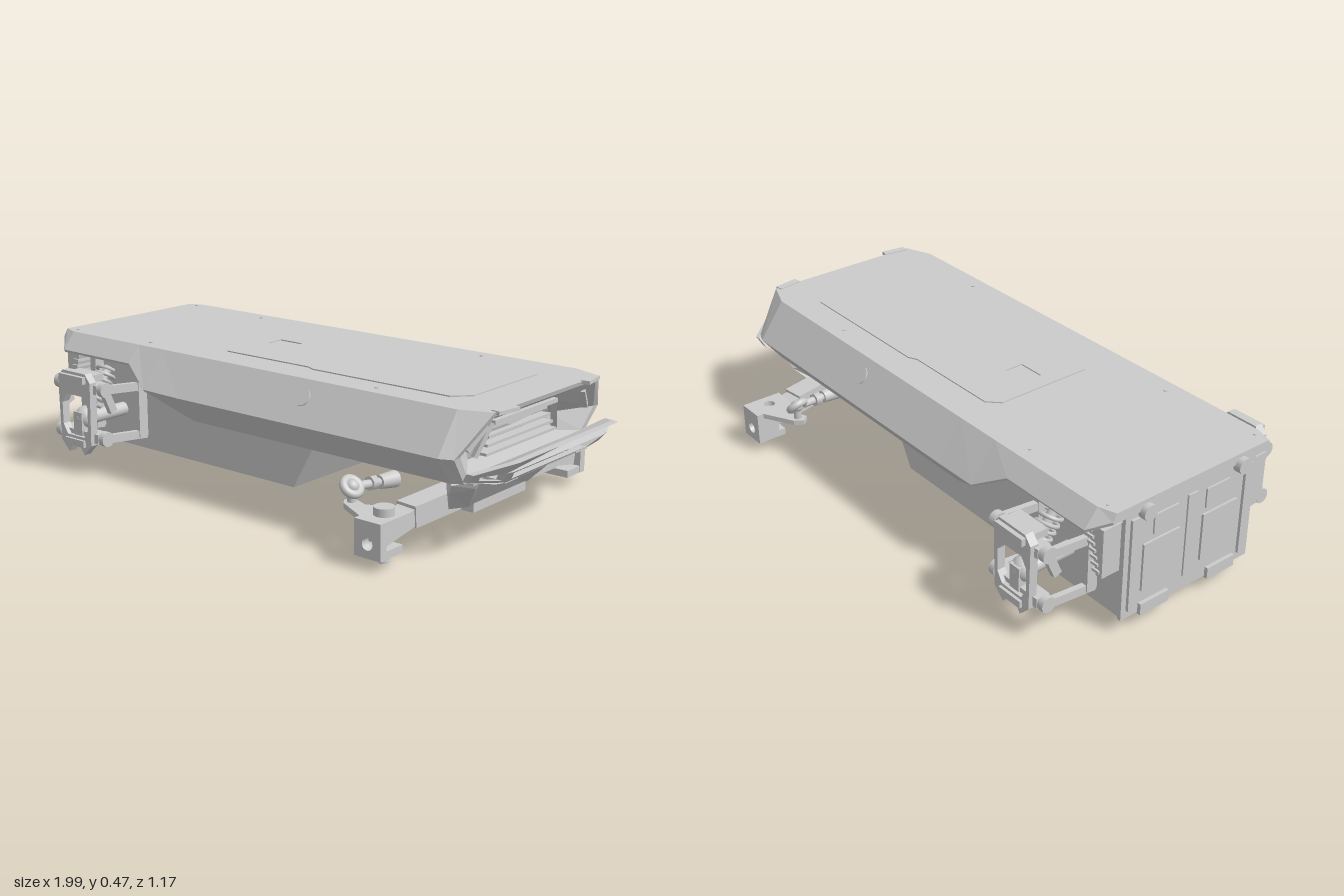
import * as THREE from 'three';

const mat = new THREE.MeshStandardMaterial({ color: 0xcccccc, flatShading: true, side: THREE.DoubleSide });
const smooth = new THREE.MeshStandardMaterial({ color: 0xcccccc });
const V = (x, y, z) => new THREE.Vector3(x, y, z);

function add(parent, name, geo, m = mat) {
  const mesh = new THREE.Mesh(geo, m);
  mesh.name = name;
  parent.add(mesh);
  return mesh;
}
function box(parent, name, x0, x1, y0, y1, z0, z1) {
  const g = new THREE.BoxGeometry(x1 - x0, y1 - y0, Math.abs(z1 - z0));
  return add(parent, name, g.translate((x0 + x1) / 2, (y0 + y1) / 2, (z0 + z1) / 2));
}
// round bar between two points
function rod(parent, name, a, b, r, r2 = r, seg = 16) {
  const d = b.clone().sub(a);
  const g = new THREE.CylinderGeometry(r2, r, d.length(), seg);
  g.applyQuaternion(new THREE.Quaternion().setFromUnitVectors(V(0, 1, 0), d.clone().normalize()));
  return add(parent, name, g.translate(...a.clone().add(b).multiplyScalar(0.5).toArray()), smooth);
}
// square bar between two points
function beam(parent, name, a, b, w, h) {
  const d = b.clone().sub(a);
  const m = add(parent, name, new THREE.BoxGeometry(w, h, d.length()));
  m.position.copy(a).add(b).multiplyScalar(0.5);
  m.lookAt(b);
  return m;
}
const poly = (pts, T = THREE.Shape) => new T(pts.map(p => new THREE.Vector2(...p)));
function circleHole(x, y, r) {
  return new THREE.Path().absarc(x, y, r, 0, Math.PI * 2, true);
}
function slab(pts, depth, holes = []) {
  const s = poly(pts);
  s.holes.push(...holes);
  return new THREE.ExtrudeGeometry(s, { depth, bevelEnabled: false, curveSegments: 12 });
}
// mirrored ring from half points [x, y, z], then skin of rings with end caps
const ring = half => [...half, ...half.slice().reverse().map(([x, y, z]) => [x, y, -z])];
function loft(rings) {
  const p = [], n = rings[0].length;
  const tri = (a, b, c) => p.push(...a, ...b, ...c);
  for (let i = 0; i + 1 < rings.length; i++) for (let j = 0; j < n; j++) {
    const k = (j + 1) % n, a = rings[i], b = rings[i + 1];
    tri(a[j], a[k], b[k]);
    tri(a[j], b[k], b[j]);
  }
  const s = rings[0], e = rings[rings.length - 1];
  for (let j = 1; j + 1 < n; j++) {
    tri(s[0], s[j + 1], s[j]);
    tri(e[0], e[j], e[j + 1]);
  }
  const g = new THREE.BufferGeometry();
  g.setAttribute('position', new THREE.Float32BufferAttribute(p, 3));
  g.computeVertexNormals();
  return g;
}

function buildBody(root) {
  const g = new THREE.Group();
  g.name = 'body';
  root.add(g);
  const sec = (x, zs, ys, zb, yb, zt = 0.34) => ring([[x, 0.465, zt], [x, ys, zs], [x, yb, zb]]);
  // upper shell, ending in a framed, recessed nose
  add(g, 'upperShell', loft([
    sec(-0.98, 0.335, 0.44, 0.33, 0.43, 0.32),
    sec(-0.92, 0.39, 0.405, 0.385, 0.395),
    sec(-0.57, 0.39, 0.405, 0.385, 0.395),
    sec(-0.45, 0.435, 0.338, 0.432, 0.332),
    sec(-0.28, 0.435, 0.335, 0.36, 0.24),
    sec(0.8, 0.435, 0.335, 0.36, 0.24),
    ring([[0.905, 0.465, 0.3], [0.845, 0.335, 0.415], [0.83, 0.24, 0.34]]),
    ring([[0.9, 0.45, 0.29], [0.845, 0.337, 0.385], [0.833, 0.262, 0.33]]),
    ring([[0.8, 0.395, 0.17], [0.76, 0.33, 0.24], [0.76, 0.275, 0.22]]),
  ]));
  // grille slats and frame
  for (let i = 0; i < 4; i++) box(g, 'grilleSlat', 0.76, 0.815 - i * 0.005, 0.29 + i * 0.025, 0.299 + i * 0.025, -0.2 + i * 0.012, 0.2 - i * 0.012);
  beam(g, 'grilleTop', V(0.815, 0.395, -0.18), V(0.815, 0.395, 0.18), 0.03, 0.014);
  for (const s of [-1, 1]) {
    beam(g, 'grilleSide', V(0.815, 0.395, 0.18 * s), V(0.79, 0.29, 0.23 * s), 0.02, 0.014);
    beam(g, 'headlamp', V(0.855, 0.42, 0.28 * s), V(0.83, 0.35, 0.345 * s), 0.03, 0.03);
    beam(g, 'noseLip', V(0.9, 0.462, 0.29 * s), V(0.915, 0.462, 0.2 * s), 0.03, 0.012);
    // round side port set in the sloping flank
    const c = V(0.23, 0.413, 0.378 * s), n = V(0, 0.59, 0.81 * s);
    rod(g, 'sidePort', c, c.clone().addScaledVector(n, 0.004), 0.03, 0.03, 24);
    for (const x of [-0.56, 0.46]) rod(g, 'roofBolt', V(x, 0.46, 0.29 * s), V(x, 0.468, 0.29 * s), 0.007);
    rod(g, 'roofBolt', V(-0.93, 0.46, 0.31 * s), V(-0.93, 0.468, 0.31 * s), 0.006);
  }
  // roof hatch with handle opening
  const w = 0.22, hatch = slab([[-0.29, -w + 0.04], [-0.25, -w], [0.12, -w], [0.15, -w - 0.015], [0.7, -w - 0.015], [0.75, -w + 0.04],
    [0.75, w - 0.04], [0.7, w + 0.015], [0.15, w + 0.015], [0.12, w], [-0.25, w], [-0.29, w - 0.04]], 0.005,
  [poly([[-0.23, -0.035], [-0.13, -0.035], [-0.13, 0.035], [-0.23, 0.035]], THREE.Path)]);
  add(g, 'roofHatch', hatch.rotateX(-Math.PI / 2).translate(0, 0.464, 0));
  // lower box
  add(g, 'lowerBox', slab([[-0.96, 0.06], [0.1, 0.06], [0.2, 0.24], [0.2, 0.25], [-0.29, 0.25], [-0.56, 0.4], [-0.96, 0.4]], 0.55).translate(0, 0, -0.275));
}

function buildRear(root) {
  const g = new THREE.Group();
  g.name = 'rearPanel';
  root.add(g);
  box(g, 'rearPlate', -0.972, -0.958, 0.05, 0.44, -0.275, 0.275);
  box(g, 'rearCenterStrip', -0.978, -0.968, 0.1, 0.4, -0.02, 0.02);
  for (const s of [-1, 1]) {
    box(g, 'rearDoor', -0.98, -0.97, 0.13, 0.3, 0.05 * s, 0.2 * s);
    box(g, 'rearDoorUpper', -0.978, -0.97, 0.32, 0.39, 0.06 * s, 0.16 * s);
    box(g, 'rearPost', -0.982, -0.97, 0.08, 0.41, 0.225 * s, 0.255 * s);
    rod(g, 'rearSocket', V(-1, 0.425, 0.2 * s), V(-0.96, 0.425, 0.2 * s), 0.027);
    box(g, 'rearFoot', -0.985, -0.92, 0.045, 0.085, 0.085 * s, 0.205 * s);
    // slanted ribbed corner vent
    const z0 = s > 0 ? 0.27 : -0.345;
    add(g, 'cornerVent', slab([[-0.955, 0.23], [-0.93, 0.23], [-0.885, 0.4], [-0.955, 0.4]], 0.075).translate(0, 0, z0));
    for (let i = 0; i < 7; i++) {
      const y = 0.245 + i * 0.022, x = -0.93 + (y - 0.23) * 0.265;
      box(g, 'ventRib', x - 0.02, x + 0.008, y, y + 0.009, 0.275 * s, 0.352 * s);
    }
  }
}

function buildRearSuspension(root, s) {
  const g = new THREE.Group();
  g.name = s > 0 ? 'rearSuspensionFront' : 'rearSuspensionBack';
  root.add(g);
  const cx = -0.735;
  // end links with eyes, joined by long pins
  for (const x of [cx - 0.115, cx + 0.115]) {
    for (const y of [0.315, 0.135]) {
      rod(g, 'linkEye', V(x - 0.012, y, 0.465 * s), V(x + 0.012, y, 0.465 * s), 0.027);
      beam(g, 'link', V(x, y, 0.465 * s), V(x, y - 0.02, 0.27 * s), 0.02, 0.03);
    }
    box(g, 'mountPost', x - 0.014, x + 0.014, 0.11, 0.375, 0.275 * s, 0.315 * s);
    beam(g, 'sideLink', V(x, 0.3, 0.46 * s), V(x, 0.23, 0.43 * s), 0.02, 0.03);
  }
  for (const y of [0.315, 0.135]) {
    rod(g, 'pivotPin', V(cx - 0.125, y, 0.465 * s), V(cx + 0.125, y, 0.465 * s), 0.015);
    box(g, 'crossBar', cx - 0.1, cx + 0.1, y - 0.017, y + 0.017, 0.44 * s, 0.49 * s);
  }
  // hub carrier plate with an open centre
  const plate = slab([[-0.04, 0.07], [-0.08, 0.11], [-0.085, 0.34], [-0.06, 0.37], [0.06, 0.37], [0.085, 0.34], [0.08, 0.11], [0.04, 0.07], [0.025, 0.095], [-0.025, 0.095]], 0.03,
    [poly([[-0.045, 0.135], [-0.067, 0.17], [-0.067, 0.25], [-0.045, 0.285], [0.045, 0.285], [0.067, 0.25], [0.067, 0.17], [0.045, 0.135]], THREE.Path)]);
  add(g, 'hubCarrier', plate.translate(cx, 0, s > 0 ? 0.475 : -0.505));
  box(g, 'carrierTop', cx - 0.063, cx + 0.063, 0.335, 0.36, 0.42 * s, 0.52 * s);
  box(g, 'carrierBottom', cx - 0.05, cx + 0.05, 0.1, 0.125, 0.43 * s, 0.515 * s);
  // drive joint and coil spring
  rod(g, 'driveShaft', V(cx, 0.19, 0.27 * s), V(cx, 0.19, 0.44 * s), 0.025);
  add(g, 'driveJoint', new THREE.SphereGeometry(0.042, 20, 14).translate(cx, 0.195, 0.455 * s), smooth);
  box(g, 'jointYoke', cx - 0.022, cx + 0.022, 0.13, 0.22, 0.465 * s, 0.495 * s);
  buildSpring(g, V(cx, 0.2, 0.46 * s), V(cx, 0.36, 0.34 * s));
}

function buildSpring(parent, a, b) {
  rod(parent, 'damper', a, b, 0.017);
  const axis = b.clone().sub(a), u = V(1, 0, 0), w = axis.clone().normalize().cross(u), pts = [];
  for (let i = 0; i <= 72; i++) {
    const t = i / 12 * Math.PI * 2;
    pts.push(a.clone().addScaledVector(axis, 0.25 + 0.7 * i / 72).addScaledVector(u, 0.035 * Math.cos(t)).addScaledVector(w, 0.035 * Math.sin(t)));
  }
  add(parent, 'coilSpring', new THREE.TubeGeometry(new THREE.CatmullRomCurve3(pts), 144, 0.007, 6), smooth);
}

function buildFrontArm(root, s) {
  const g = new THREE.Group();
  g.name = s > 0 ? 'frontArmFront' : 'frontArmBack';
  root.add(g);
  // two-piece swing arm
  beam(g, 'innerArm', V(0.69, 0.14, 0.2 * s), V(0.665, 0.125, 0.4 * s), 0.08, 0.07);
  beam(g, 'outerArm', V(0.665, 0.125, 0.385 * s), V(0.66, 0.095, 0.54 * s), 0.07, 0.055);
  // knuckle bracket with an axle hole
  const outer = slab([[0.61, 0.035], [0.71, 0.035], [0.71, 0.15], [0.61, 0.15]], 0.03, [circleHole(0.66, 0.08, 0.02)]);
  add(g, 'knucklePlate', outer.translate(0, 0, s > 0 ? 0.555 : -0.585));
  box(g, 'knuckleBottom', 0.612, 0.708, 0.035, 0.06, 0.475 * s, 0.557 * s);
  box(g, 'knuckleBack', 0.612, 0.625, 0.06, 0.13, 0.5 * s, 0.557 * s);
  const top = slab([[0.71, 0.585], [0.61, 0.585], [0.61, 0.56], [0.5, 0.5], [0.48, 0.47], [0.5, 0.445], [0.56, 0.47], [0.63, 0.435], [0.71, 0.435]].map(([x, z]) => [x, z * s]), 0.018,
    s < 0 ? [circleHole(0.66, 0.505 * s, 0.02)] : []);
  add(g, 'steeringPlate', top.rotateX(Math.PI / 2).translate(0, 0.152, 0));
  // king pin is fitted on one side only
  if (s > 0) {
    rod(g, 'kingPin', V(0.66, 0, 0.505), V(0.66, 0.16, 0.505), 0.016);
    rod(g, 'kingPinHead', V(0.66, 0.15, 0.505), V(0.66, 0.178, 0.505), 0.033);
    for (let i = 0; i < 3; i++) rod(g, 'pinThread', V(0.66, 0.004 + i * 0.01, 0.505), V(0.66, 0.009 + i * 0.01, 0.505), 0.019);
  }
  // tie rod and its ball joint
  const eye = add(g, 'tieRodEye', new THREE.TorusGeometry(0.028, 0.014, 10, 24), smooth);
  eye.position.set(0.512, 0.2, 0.475 * s);
  eye.lookAt(0.9, 0.6, 0.55 * s);
  add(g, 'tieRodBall', new THREE.SphereGeometry(0.022, 16, 12).translate(0.512, 0.2, 0.475 * s), smooth);
  rod(g, 'jointStud', V(0.512, 0.14, 0.475 * s), V(0.512, 0.2, 0.475 * s), 0.014);
  rod(g, 'tieRod', V(0.515, 0.195, 0.445 * s), V(0.535, 0.185, 0.3 * s), 0.014);
  rod(g, 'tieRodNut', V(0.52, 0.193, 0.4 * s), V(0.523, 0.191, 0.375 * s), 0.024, 0.024, 6);
  rod(g, 'tieRodBoot', V(0.527, 0.189, 0.36 * s), V(0.535, 0.185, 0.29 * s), 0.022, 0.028);
}

function buildNoseGuard(root) {
  const g = new THREE.Group();
  g.name = 'noseGuard';
  root.add(g);
  // faceted skid plate below the nose
  add(g, 'skidPlate', loft([
    ring([[0.74, 0.235, 0.3], [0.74, 0.2, 0.3], [0.71, 0.105, 0.22]]),
    ring([[0.79, 0.228, 0.345], [0.77, 0.195, 0.333], [0.715, 0.105, 0.25]]),
    ring([[0.83, 0.228, 0.25], [0.815, 0.2, 0.25], [0.735, 0.105, 0.17]]),
  ]));
  box(g, 'crossMember', 0.69, 0.74, 0.08, 0.12, -0.15, 0.15);
  box(g, 'noseFloor', 0.72, 0.83, 0.222, 0.245, -0.29, 0.29);
  // bumper frame, leaning back at its foot and swept back at its ends
  const half = [[0.29, 0.327], [0.402, 0.297], [0.388, 0.265], [0.29, 0.245], [0.23, 0.235]];
  const outline = [...half, ...half.slice().reverse().map(([z, y]) => [-z, y])];
  const holes = [poly([[0.265, 0.287], [0.22, 0.247], [-0.22, 0.247], [-0.265, 0.287]], THREE.Path)];
  for (const s of [-1, 1]) holes.push(poly([[0.295 * s, 0.287], [0.375 * s, 0.285], [0.365 * s, 0.272], [0.28 * s, 0.256]], THREE.Path));
  const geo = slab(outline, 0.025, holes).rotateY(Math.PI / 2);
  const p = geo.attributes.position;
  for (let i = 0; i < p.count; i++) {
    p.setX(i, p.getX(i) + 0.97 - (0.327 - p.getY(i)) * 0.95 - Math.max(0, Math.abs(p.getZ(i)) - 0.28) * 0.5);
  }
  geo.computeVertexNormals();
  add(g, 'bumper', geo);
  for (const s of [-1, 1]) box(g, 'bumperBracket', 0.73, 0.91, 0.234, 0.242, 0.17 * s, 0.24 * s);
}

export function createModel() {
  const root = new THREE.Group();
  root.name = 'vehicleChassis';
  buildBody(root);
  buildRear(root);
  buildNoseGuard(root);
  for (const s of [1, -1]) {
    buildRearSuspension(root, s);
    buildFrontArm(root, s);
  }
  return root;
}
